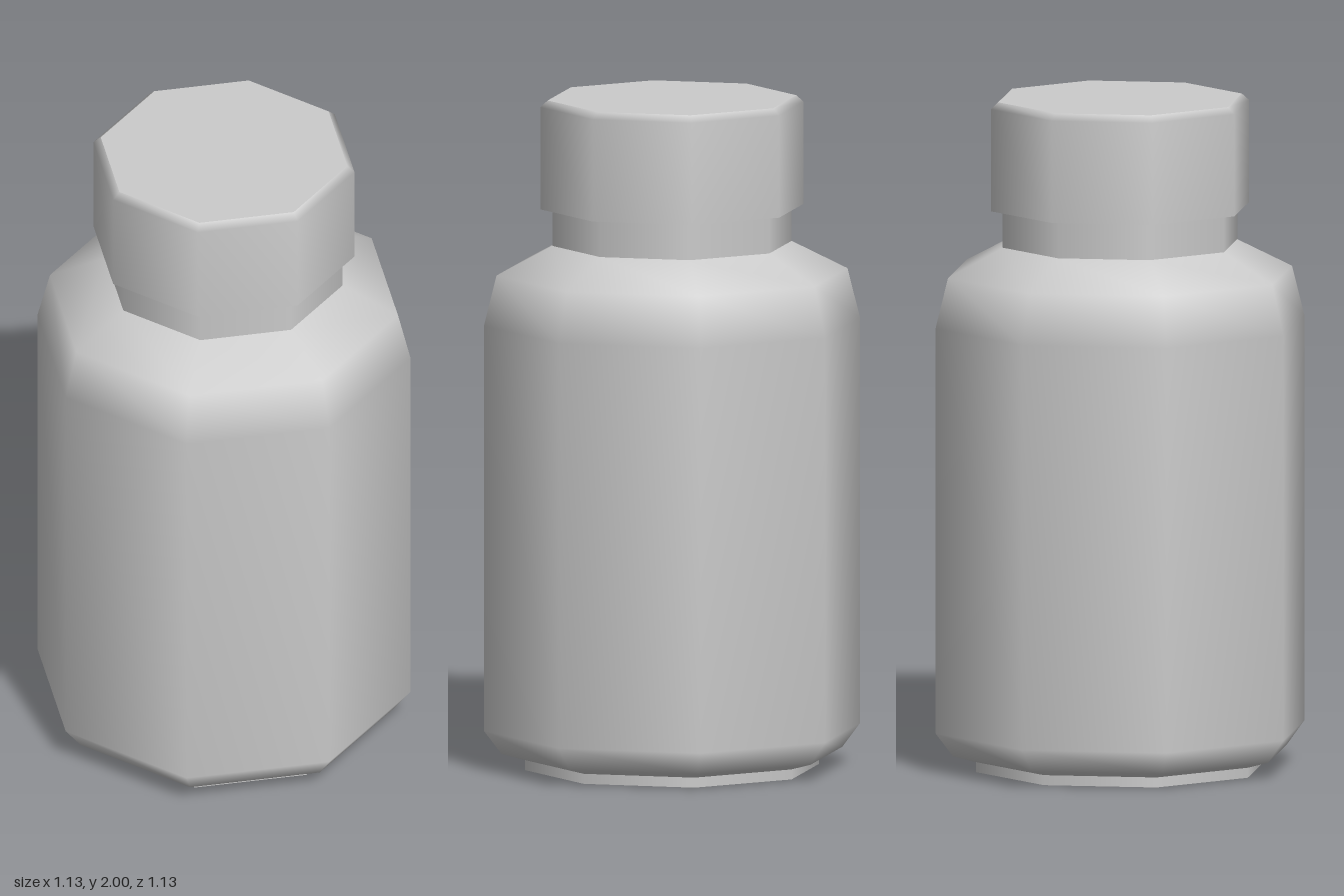
import * as THREE from 'three';

const SIDES = 8;

export function createModel() {
  const model = new THREE.Group();
  model.name = 'bottle';
  const material = new THREE.MeshStandardMaterial({ color: 0xcccccc });

  // One smooth-shaded octagonal band; separate bands meet in sharp edges.
  function band(parent, name, profile) {
    const points = profile.map(([r, y]) => new THREE.Vector2(r, y));
    const mesh = new THREE.Mesh(new THREE.LatheGeometry(points, SIDES), material);
    mesh.name = name;
    parent.add(mesh);
  }

  function part(name) {
    const group = new THREE.Group();
    group.name = name;
    model.add(group);
    return group;
  }

  // Foot: flat underside and a low rim
  const foot = part('foot');
  band(foot, 'footUnderside', [[0, 0], [0.44, 0]]);
  band(foot, 'footRim', [[0.44, 0], [0.44, 0.03]]);

  // Body: rounded bottom, straight wall and sloping shoulder
  const body = part('body');
  band(body, 'bodyWall', [
    [0.44, 0.03], [0.51, 0.05], [0.563, 0.12],
    [0.563, 1.33], [0.525, 1.48], [0.358, 1.565],
  ]);

  // Neck
  band(part('neck'), 'neckWall', [[0.358, 1.565], [0.358, 1.675]]);

  // Cap: underside lip, bevelled wall and flat top
  const cap = part('cap');
  band(cap, 'capUnderside', [[0.358, 1.675], [0.394, 1.675]]);
  band(cap, 'capWall', [[0.394, 1.675], [0.394, 1.98], [0.372, 2]]);
  band(cap, 'capTop', [[0.372, 2], [0, 2]]);

  return model;
}
